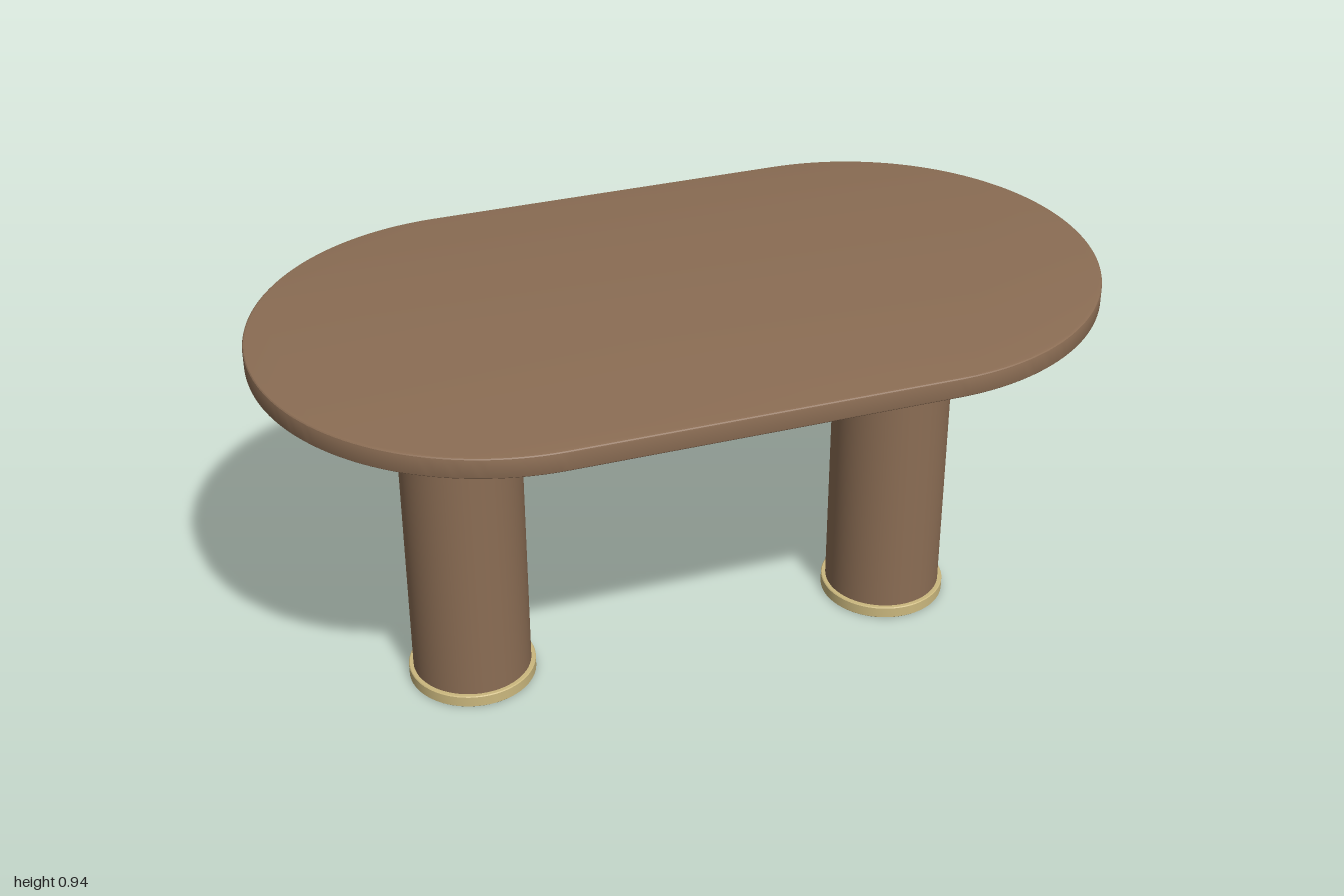
import * as THREE from 'three';
import { toCreasedNormals } from 'three/addons/utils/BufferGeometryUtils.js';

const CREASE = Math.PI / 7;

// Solid of revolution with a small softened edge at the top and bottom rims
function roundPost(radius, y0, y1, bevel) {
  const points = [
    [0, y0], [radius - bevel, y0], [radius, y0 + bevel],
    [radius, y1 - bevel], [radius - bevel, y1], [0, y1],
  ].map(([x, y]) => new THREE.Vector2(x, y));
  return toCreasedNormals(new THREE.LatheGeometry(points, 64), CREASE);
}

// Stadium-shaped slab lying flat, with softened edges
function stadiumSlab(halfLength, halfDepth, y0, y1, bevel) {
  const c = halfLength - halfDepth;
  const shape = new THREE.Shape();
  shape.absarc(c, 0, halfDepth, -Math.PI / 2, Math.PI / 2, false);
  shape.absarc(-c, 0, halfDepth, Math.PI / 2, Math.PI * 1.5, false);
  const geometry = new THREE.ExtrudeGeometry(shape, {
    depth: y1 - y0 - 2 * bevel,
    curveSegments: 48,
    bevelEnabled: true,
    bevelThickness: bevel,
    bevelSize: bevel,
    bevelOffset: -bevel,
    bevelSegments: 3,
  });
  geometry.rotateX(-Math.PI / 2);
  geometry.translate(0, y0 + bevel, 0);
  return toCreasedNormals(geometry, CREASE);
}

export function createModel() {
  const wood = new THREE.MeshStandardMaterial({ color: 0x8b6d54 });
  wood.name = 'walnut wood';
  const brass = new THREE.MeshStandardMaterial({ color: 0xcbb87e });
  brass.name = 'pale brass';

  const table = new THREE.Group();
  table.name = 'table';

  // Oval top, floating just above the legs
  const top = new THREE.Mesh(stadiumSlab(1, 0.56, 0.888, 0.938, 0.006), wood);
  top.name = 'tableTop';
  table.add(top);

  // Two column legs, each with a brass foot ring
  const columnGeometry = roundPost(0.143, 0.002, 0.862, 0.004);
  const footGeometry = roundPost(0.154, 0, 0.03, 0.002);
  for (const [side, x] of [['left', 0.54], ['right', -0.54]]) {
    const leg = new THREE.Group();
    leg.name = `${side}Leg`;
    const column = new THREE.Mesh(columnGeometry, wood);
    column.name = `${side}Column`;
    const foot = new THREE.Mesh(footGeometry, brass);
    foot.name = `${side}FootRing`;
    leg.add(column, foot);
    leg.position.x = x;
    table.add(leg);
  }
  return table;
}
